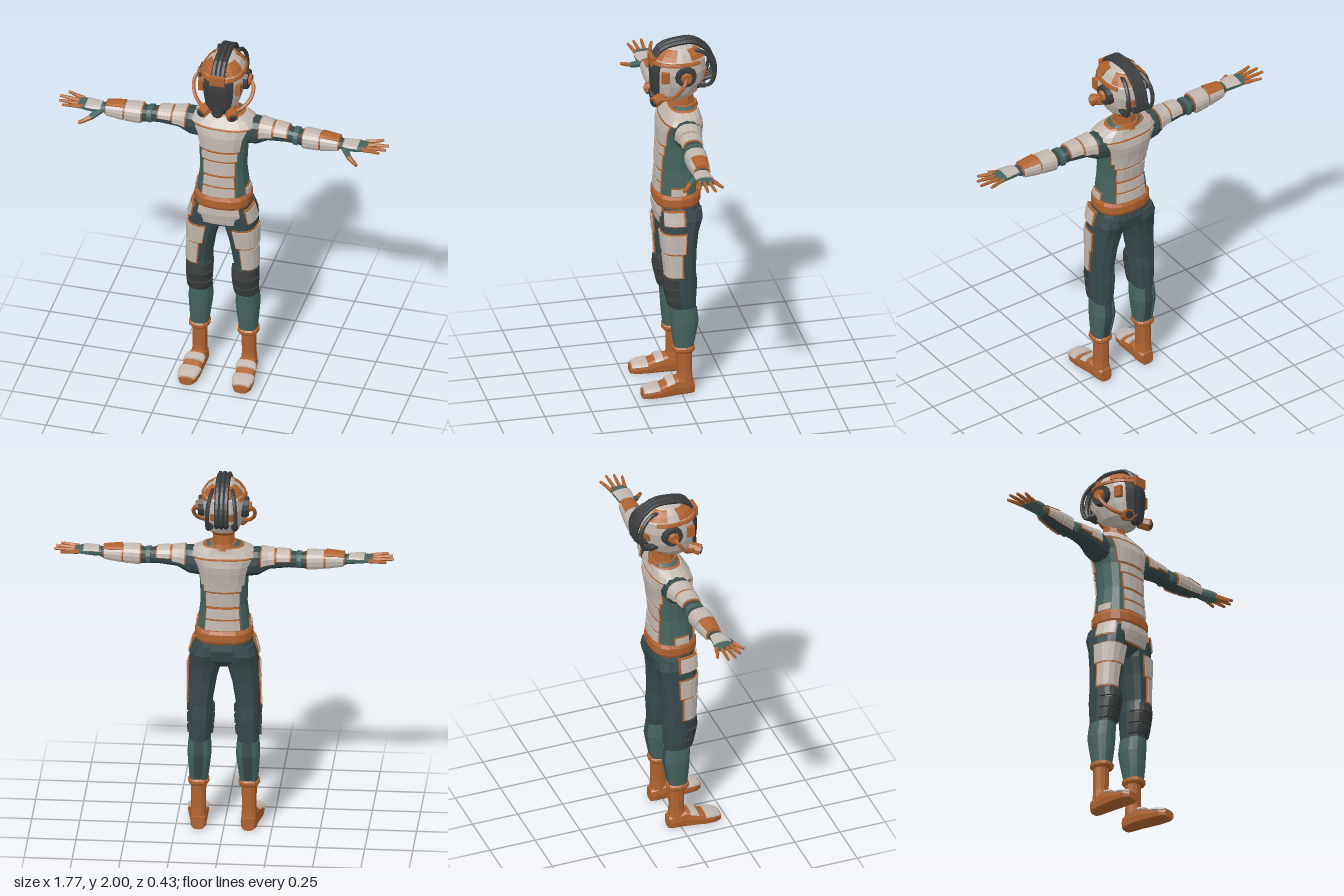
import * as THREE from 'three';

const ORANGE = 0xb0632f, WHITE = 0xc2b8b0, TEAL = 0x45645f, NAVY = 0x37494c, DARK = 0x3a3c3d;
const materials = {};
const mat = (color) => (materials[color] ??= new THREE.MeshStandardMaterial({ color, flatShading: true, roughness: 0.8 }));
const V = (x, y, z) => new THREE.Vector3(x, y, z);
const rad = THREE.MathUtils.degToRad;
const { clamp, lerp } = THREE.MathUtils;

function add(group, name, geometry, color) {
  const mesh = new THREE.Mesh(geometry, mat(color));
  mesh.name = name;
  group.add(mesh);
  return mesh;
}

// Axes along which a limb can run
const upright = (p, t, q) => V(p, t, q);
const sideways = (p, t, q) => V(t, -p, q);
const forward = (p, t, q) => V(p, -q, t);

// Skin through rounded sections: rows of [position, centre, centre, radius, radius]
function surface(rows, power = 0.8, map = upright) {
  rows = [...rows].sort((a, b) => a[0] - b[0]);
  const section = (t) => {
    let k = 0;
    while (k < rows.length - 2 && t > rows[k + 1][0]) k++;
    const f = clamp((t - rows[k][0]) / (rows[k + 1][0] - rows[k][0]), 0, 1);
    return rows[k].map((v, i) => lerp(v, rows[k + 1][i], f));
  };
  const at = (deg, t, off = 0) => {
    const [, cp, cq, rp, rq] = section(t);
    const c = Math.cos(rad(deg)), s = Math.sin(rad(deg));
    const p = Math.sign(c) * Math.abs(c) ** power, q = Math.sign(s) * Math.abs(s) ** power;
    const len = Math.hypot(p / rp, q / rq);
    return map(cp + p * rp + (off * p) / rp / len, t, cq + q * rq + (off * q) / rq / len);
  };
  const centre = (t) => { const s = section(t); return map(s[1], t, s[2]); };
  return { rows, at, centre };
}

function grid(nt, na, point) {
  const pos = [], index = [];
  for (let i = 0; i <= nt; i++) for (let j = 0; j <= na; j++) pos.push(...point(i, j).toArray());
  for (let i = 0; i < nt; i++) for (let j = 0; j < na; j++) {
    const a = i * (na + 1) + j, b = a + na + 1;
    index.push(a, b, b + 1, a, b + 1, a + 1);
  }
  const g = new THREE.BufferGeometry();
  g.setAttribute('position', new THREE.Float32BufferAttribute(pos, 3));
  g.setIndex(index);
  const flat = g.toNonIndexed();
  flat.computeVertexNormals();
  return flat;
}

// Closed body with capped ends
function loft(group, name, S, color, sides = 12) {
  const n = S.rows.length;
  return add(group, name, grid(n + 1, sides, (i, j) => {
    const t = S.rows[clamp(i - 1, 0, n - 1)][0];
    return i === 0 || i === n + 1 ? S.centre(t) : S.at((j * 360) / sides, t);
  }), color);
}

// Raised panel on a skin, with walls down to it
function panel(group, name, S, a0, a1, t0, t1, color, off = 0.01) {
  const na = Math.max(2, Math.ceil((a1 - a0) / 22)), nt = Math.max(2, Math.ceil((t1 - t0) / 0.04));
  add(group, name, grid(nt + 2, na + 2, (i, j) => {
    const edge = i === 0 || j === 0 || i === nt + 2 || j === na + 2;
    const a = lerp(a0, a1, clamp((j - 1) / na, 0, 1)), t = lerp(t0, t1, clamp((i - 1) / nt, 0, 1));
    return S.at(a, t, edge ? -0.008 : off);
  }), color);
}

// Armour plate with an orange rim
function plate(group, name, S, a0, a1, t0, t1, color = WHITE) {
  panel(group, name + 'Rim', S, a0 - 3, a1 + 3, t0 - 0.006, t1 + 0.006, ORANGE, 0.006);
  panel(group, name, S, a0, a1, t0, t1, color, 0.011);
}

function rod(group, name, from, to, r0, r1, color, sides = 6) {
  const d = to.clone().sub(from);
  const m = add(group, name, new THREE.CylinderGeometry(r1, r0, d.length(), sides), color);
  m.position.copy(from).addScaledVector(d, 0.5);
  m.quaternion.setFromUnitVectors(V(0, 1, 0), d.normalize());
}

function cable(group, name, pts, r, color) {
  const curve = new THREE.CatmullRomCurve3(pts.map((p) => V(...p)));
  add(group, name, new THREE.TubeGeometry(curve, 20, r, 6), color);
}

// Left group plus its reflection across x = 0
function pair(root, name, build) {
  const left = new THREE.Group(), right = new THREE.Group();
  left.name = 'left' + name;
  right.name = 'right' + name;
  build(left);
  for (const m of left.children) {
    m.updateMatrix();
    const src = m.geometry.index ? m.geometry.toNonIndexed() : m.geometry.clone();
    src.applyMatrix4(m.matrix).scale(-1, 1, 1);
    const p = src.attributes.position;
    for (let i = 0; i < p.count; i += 3) {
      const b = V().fromBufferAttribute(p, i + 1), c = V().fromBufferAttribute(p, i + 2);
      p.setXYZ(i + 1, c.x, c.y, c.z);
      p.setXYZ(i + 2, b.x, b.y, b.z);
    }
    src.computeVertexNormals();
    add(right, m.name, src, m.material.color.getHex());
  }
  root.add(left, right);
}

function buildTorso(g) {
  const S = surface([[1.07, 0, 0, 0.135, 0.112], [1.14, 0, 0, 0.138, 0.11], [1.28, 0, 0, 0.122, 0.1], [1.42, 0, -0.01, 0.127, 0.105],
    [1.5, 0, -0.017, 0.145, 0.112], [1.55, 0, -0.02, 0.175, 0.1], [1.575, 0, -0.025, 0.165, 0.085], [1.61, 0, -0.035, 0.1, 0.068], [1.63, 0, -0.04, 0.06, 0.055]]);
  loft(g, 'torso', S, TEAL, 16);
  plate(g, 'chestPlate', S, 44, 136, 1.425, 1.545);
  plate(g, 'shoulderYoke', S, -5, 355, 1.558, 1.608);
  plate(g, 'upperBackPlate', S, 218, 322, 1.4, 1.545);
  [[1.148, 1.2, 32], [1.212, 1.265, 32], [1.28, 1.355, 34], [1.367, 1.41, 40]].forEach(([a, b, w]) => {
    plate(g, 'abdomenPlate', S, 90 - w, 90 + w, a, b);
    plate(g, 'spinePlate', S, 270 - w - 2, 270 + w + 2, a, b);
  });
  for (const a of [-8, 160]) plate(g, 'sidePocket', S, a, a + 28, 1.145, 1.18);
  loft(g, 'belt', surface([[1.07, 0, 0, 0.145, 0.118], [1.085, 0, 0, 0.152, 0.125], [1.125, 0, 0, 0.152, 0.125], [1.142, 0, 0, 0.143, 0.116]]), ORANGE, 16);
  const P = surface([[1.08, 0, 0, 0.142, 0.112], [1.03, 0, -0.004, 0.162, 0.118], [0.97, 0, -0.004, 0.15, 0.105], [0.925, 0, -0.005, 0.05, 0.06]]);
  loft(g, 'pelvis', P, NAVY, 14);
  plate(g, 'groinPlate', P, 52, 128, 1.0, 1.07);
  plate(g, 'lowerGroinPlate', P, 64, 116, 0.972, 0.998);
}

function buildLeg(g) {
  const S = surface([[1.05, 0.09, -0.005, 0.07, 0.112], [1.0, 0.092, -0.008, 0.085, 0.115], [0.93, 0.098, 0, 0.085, 0.1], [0.84, 0.111, 0.002, 0.073, 0.09],
    [0.7, 0.124, 0, 0.063, 0.08], [0.63, 0.122, 0, 0.063, 0.088], [0.55, 0.124, -0.006, 0.06, 0.076], [0.5, 0.126, -0.012, 0.055, 0.068],
    [0.42, 0.126, -0.02, 0.06, 0.07], [0.34, 0.128, -0.015, 0.052, 0.06], [0.25, 0.131, -0.012, 0.043, 0.045]]);
  loft(g, 'leg', S, NAVY);
  panel(g, 'shinGuard', S, -70, 250, 0.275, 0.5, TEAL, 0.003);
  plate(g, 'hipPouch', S, 0, 52, 0.99, 1.06);
  plate(g, 'thighPlate', S, -5, 100, 0.83, 0.935);
  plate(g, 'lowerThighPlate', S, 2, 90, 0.695, 0.82);
  for (const [a, b] of [[0.515, 0.56], [0.572, 0.622], [0.634, 0.68]]) panel(g, 'kneePad', S, 10, 170, a, b, DARK, 0.011);
  // Boot
  loft(g, 'bootCuff', surface([[0.245, 0.131, -0.012, 0.05, 0.053], [0.255, 0.131, -0.012, 0.056, 0.06], [0.27, 0.131, -0.012, 0.056, 0.06], [0.28, 0.131, -0.012, 0.046, 0.05]]), ORANGE);
  loft(g, 'bootShaft', surface([[0.25, 0.131, -0.017, 0.04, 0.04], [0.12, 0.132, -0.018, 0.038, 0.039], [0.05, 0.133, -0.015, 0.043, 0.048]]), ORANGE, 10);
  const F = surface([[-0.066, 0.13, -0.036, 0.032, 0.036], [-0.04, 0.131, -0.04, 0.042, 0.04], [0.02, 0.134, -0.049, 0.046, 0.049], [0.06, 0.138, -0.045, 0.05, 0.045],
    [0.12, 0.143, -0.033, 0.055, 0.033], [0.18, 0.146, -0.029, 0.052, 0.029], [0.212, 0.147, -0.024, 0.034, 0.022]], 0.55, forward);
  loft(g, 'foot', F, ORANGE, 12);
  panel(g, 'instepPlate', F, 205, 335, 0.045, 0.085, WHITE, 0.008);
  panel(g, 'toePlate', F, 195, 345, 0.125, 0.205, WHITE, 0.006);
}

function buildArm(g) {
  const S = surface([[0.11, -1.51, -0.03, 0.075, 0.075], [0.18, -1.515, -0.025, 0.073, 0.068], [0.24, -1.525, -0.02, 0.05, 0.054], [0.34, -1.526, -0.015, 0.042, 0.046],
    [0.4, -1.52, -0.012, 0.038, 0.044], [0.44, -1.521, -0.007, 0.045, 0.05], [0.53, -1.522, -0.002, 0.041, 0.045], [0.64, -1.526, 0.002, 0.024, 0.035]], 0.85, sideways);
  loft(g, 'arm', S, NAVY);
  plate(g, 'upperArmPlate', S, 85, 275, 0.2, 0.265);
  plate(g, 'lowerUpperArmPlate', S, 95, 265, 0.277, 0.345);
  panel(g, 'elbowBand', S, 60, 300, 0.38, 0.405, TEAL, 0.008);
  plate(g, 'forearmPlate', S, 55, 305, 0.435, 0.52);
  plate(g, 'wristPlate', S, 55, 305, 0.53, 0.622);
  panel(g, 'wristAccent', S, 140, 230, 0.53, 0.626, ORANGE, 0.015);
  // Hand
  const H = surface([[0.62, -1.526, 0.003, 0.022, 0.03], [0.67, -1.527, 0.013, 0.023, 0.042], [0.73, -1.532, 0.009, 0.018, 0.048], [0.775, -1.535, 0.005, 0.011, 0.045]], 0.85, sideways);
  loft(g, 'palm', H, TEAL, 10);
  panel(g, 'handPlate', H, 110, 250, 0.65, 0.73, WHITE, 0.005);
  const digit = (name, pts, r) => pts.slice(1).forEach((p, i) => rod(g, name, V(...pts[i]), V(...p), r - i * 0.002, r - 0.003 - i * 0.002, ORANGE));
  [[-0.034, -0.062, 0.845], [-0.009, -0.016, 0.882], [0.018, 0.026, 0.876], [0.042, 0.062, 0.85]].forEach(([z0, z1, x]) =>
    digit('finger', [[0.755, 1.535, z0], [(0.77 + x) / 2, 1.539, (z0 + z1) / 2], [x, 1.542, z1]], 0.012));
  rod(g, 'thumbBase', V(0.655, 1.522, 0.03), V(0.695, 1.5, 0.08), 0.02, 0.015, TEAL);
  digit('thumb', [[0.69, 1.502, 0.077], [0.72, 1.492, 0.1], [0.745, 1.487, 0.122]], 0.014);
}

function buildHead(g) {
  rod(g, 'neck', V(0, 1.57, -0.04), V(0, 1.7, -0.035), 0.062, 0.055, ORANGE, 10);
  rod(g, 'collar', V(0, 1.6, -0.04), V(0, 1.63, -0.04), 0.08, 0.07, ORANGE, 12);
  const S = surface([[1.655, 0, 0.015, 0.05, 0.075], [1.7, 0, 0.008, 0.085, 0.118], [1.76, 0, -0.008, 0.104, 0.138], [1.83, 0, -0.012, 0.114, 0.147],
    [1.89, 0, -0.014, 0.108, 0.138], [1.93, 0, -0.016, 0.084, 0.108], [1.955, 0, -0.018, 0.05, 0.07], [1.966, 0, -0.02, 0.02, 0.03]], 0.9);
  loft(g, 'helmet', S, WHITE, 16);
  panel(g, 'visor', S, 50, 130, 1.67, 1.875, DARK, 0.008);
  panel(g, 'headBand', S, -40, 220, 1.878, 1.895, ORANGE, 0.01);
  for (const a of [12, 112, 195, 283]) panel(g, 'crownPanel', S, a, a + 56, 1.903, 1.95, ORANGE, 0.008);
  panel(g, 'napePanel', S, 225, 315, 1.665, 1.7, ORANGE, 0.006);
  panel(g, 'rearPanel', S, 240, 300, 1.78, 1.82, ORANGE, 0.006);
  const brow = add(g, 'browUnit', new THREE.BoxGeometry(0.08, 0.05, 0.045), ORANGE);
  brow.position.set(0, 1.888, 0.118);
  rod(g, 'chinVent', V(0, 1.69, 0.09), V(0, 1.685, 0.137), 0.035, 0.028, DARK, 8);
  // Cables over the crown
  for (const x of [-0.024, 0, 0.024]) cable(g, 'crownCable', [[x, 1.9, 0.115], [x, 1.955, 0.075], [x, 1.984 - Math.abs(x) / 3, -0.01], [x, 1.975, -0.09], [x, 1.92, -0.165], [x, 1.84, -0.2], [x, 1.775, -0.195], [x, 1.755, -0.13]], 0.0135, DARK);
}

function buildHeadSide(g) {
  rod(g, 'earCup', V(0.085, 1.82, -0.03), V(0.13, 1.82, -0.03), 0.062, 0.052, DARK, 12);
  rod(g, 'earDisc', V(0.125, 1.82, -0.03), V(0.145, 1.82, -0.03), 0.034, 0.026, ORANGE, 8);
  const lamp = add(g, 'templeUnit', new THREE.BoxGeometry(0.025, 0.06, 0.04), ORANGE);
  lamp.position.set(0.1, 1.82, 0.075);
  cable(g, 'breathingHose', [[0.135, 1.82, -0.03], [0.158, 1.79, -0.01], [0.15, 1.735, 0.03], [0.115, 1.7, 0.07], [0.08, 1.69, 0.1]], 0.01, ORANGE);
  rod(g, 'filter', V(0.055, 1.695, 0.08), V(0.085, 1.675, 0.135), 0.028, 0.032, ORANGE, 8);
  rod(g, 'filterCap', V(0.083, 1.676, 0.13), V(0.089, 1.672, 0.142), 0.022, 0.02, DARK, 8);
  cable(g, 'rearCable', [[0.045, 1.93, -0.06], [0.055, 1.935, -0.12], [0.07, 1.88, -0.178], [0.075, 1.8, -0.19], [0.07, 1.745, -0.165], [0.06, 1.74, -0.1]], 0.011, DARK);
  rod(g, 'cableSocket', V(0.058, 1.745, -0.1), V(0.068, 1.745, -0.145), 0.02, 0.018, DARK, 8);
}

export function createModel() {
  const root = new THREE.Group();
  root.name = 'suitedFigure';
  for (const [name, build] of [['torso', buildTorso], ['head', buildHead]]) {
    const g = new THREE.Group();
    g.name = name;
    build(g);
    root.add(g);
  }
  pair(root, 'HeadGear', buildHeadSide);
  pair(root, 'Arm', buildArm);
  pair(root, 'Leg', buildLeg);
  return root;
}
